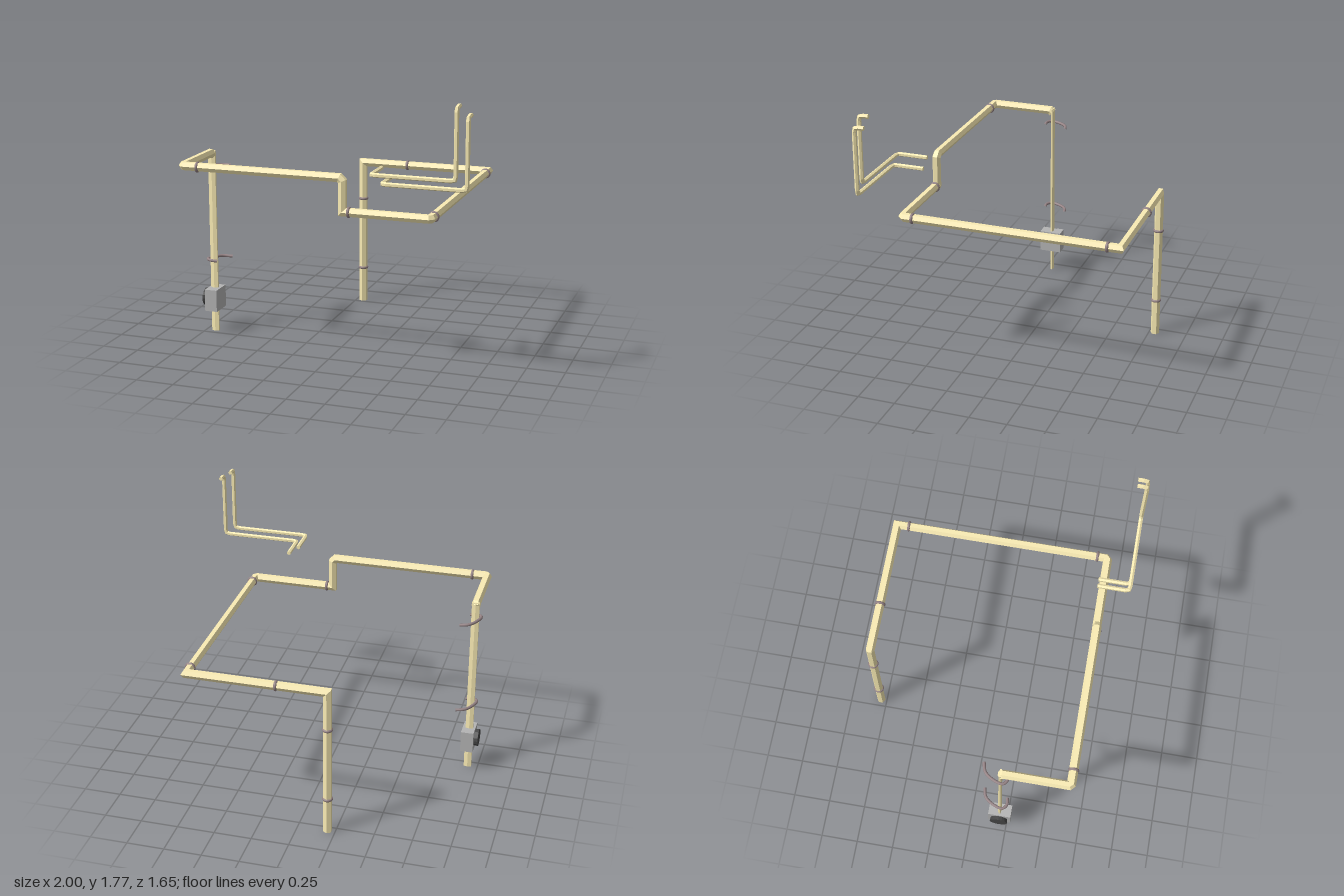
import * as THREE from 'three';

const SIDES = 6;
const V = (p) => new THREE.Vector3(...p);

// Mitred prism swept along a polyline; ru and rv scale the section on its two axes
function sweep(points, ru, rv = ru) {
  const pts = points.map(V);
  const dirs = pts.slice(1).map((p, i) => p.clone().sub(pts[i]).normalize());
  const d0 = dirs[0];
  const u = V([1, 0, 0]).cross(d0).normalize();
  const v = d0.clone().cross(u);
  const k = 1 / Math.cos(Math.PI / SIDES);
  let ring = [];
  for (let i = 0; i < SIDES; i++) {
    const a = (i / SIDES) * Math.PI * 2;
    ring.push(pts[0].clone().addScaledVector(u, Math.cos(a) * ru * k).addScaledVector(v, Math.sin(a) * rv * k));
  }
  const rings = [ring];
  dirs.forEach((d, s) => {
    const n = d.clone().add(dirs[s + 1] || d).normalize();
    ring = ring.map((p) => p.clone().addScaledVector(d, pts[s + 1].clone().sub(p).dot(n) / d.dot(n)));
    rings.push(ring);
  });
  const verts = rings.flat().concat([pts[0], pts[pts.length - 1]]);
  const idx = [];
  const c = rings.length * SIDES, last = (rings.length - 1) * SIDES;
  for (let i = 0; i < SIDES; i++) {
    const j = (i + 1) % SIDES;
    for (let r = 0; r < last; r += SIDES) idx.push(r + i, r + j, r + SIDES + i, r + j, r + SIDES + j, r + SIDES + i);
    idx.push(c, j, i, c + 1, last + i, last + j);
  }
  const g = new THREE.BufferGeometry().setFromPoints(verts);
  g.setIndex(idx);
  const flat = g.toNonIndexed();
  flat.computeVertexNormals();
  return flat;
}

// Replaces each inner corner of a polyline by a short bend
function bend(points, r) {
  const pts = points.map(V), out = [points[0]];
  for (let i = 1; i < pts.length - 1; i++) {
    const a = pts[i - 1].clone().sub(pts[i]).setLength(r).add(pts[i]);
    const b = pts[i + 1].clone().sub(pts[i]).setLength(r).add(pts[i]);
    const m = a.clone().add(b).multiplyScalar(0.21).addScaledVector(pts[i], 0.58);
    out.push(a.toArray(), m.toArray(), b.toArray());
  }
  out.push(points[points.length - 1]);
  return out;
}

export function createModel() {
  const model = new THREE.Group();
  const mat = (color, flatShading = true) => new THREE.MeshStandardMaterial({ color, flatShading });
  const pipeMat = mat(0xfaecb4), ringMat = mat(0x968486, false), boxMat = mat(0xb4b4b4), dialMat = mat(0x484848);
  const add = (name, geo, material, pos = [0, 0, 0]) => {
    const m = new THREE.Mesh(geo, material);
    m.name = name;
    m.position.set(...pos);
    model.add(m);
  };

  // Long pipe run, with cut corners at the front and at the step
  add('mainPipe', sweep([
    [-0.2, 0, -0.79], [-0.2, 1.03, -0.79], [0.715, 1.03, -0.79],
    [0.715, 1.03, 0.63], [0.7, 1.03, 0.645],
    [0.149, 1.03, 0.645], [0.149, 1.225, 0.645], [0.129, 1.245, 0.645],
    [-0.92, 1.245, 0.645], [-0.932, 1.245, 0.633], [-0.932, 1.245, 0.22], [-0.932, 1.23, 0.203],
  ], 0.0255), pipeMat);

  // Flat downpipe
  add('downPipe', sweep([[-0.932, 0, 0.201], [-0.932, 1.26, 0.201]], 0.0108, 0.0255), pipeMat);

  // Pair of small supply pipes
  [[0.387, 0.915, 1.317, 1.757], [0.455, 0.985, 1.265, 1.705]].forEach(([x0, x1, y0, y1]) => {
    add('smallPipe', sweep(bend([
      [x0, y0, 0.605], [x0, y0, 0.815], [x1, y0, 0.815], [x1, y1, 0.815], [x1, y1, 0.75],
    ], 0.03), 0.0125), pipeMat);
  });

  // Rings around the main pipe, listed with the axis they circle
  [
    ['y', -0.2, 0.25, -0.79], ['y', -0.2, 0.765, -0.79],
    ['x', 0.13, 1.03, -0.79], ['x', 0.19, 1.03, 0.645], ['x', -0.83, 1.243, 0.645],
    ['z', 0.717, 1.03, -0.71], ['z', 0.717, 1.03, 0.575],
  ].forEach(([axis, ...pos]) => {
    const g = new THREE.TorusGeometry(0.025, 0.0105, 8, 16);
    if (axis === 'x') g.rotateY(Math.PI / 2);
    if (axis === 'y') g.rotateX(Math.PI / 2);
    add('pipeRing', g, ringMat, pos);
  });

  // Open hooks on the downpipe
  const hook = new THREE.CatmullRomCurve3([
    [-0.89, -0.004, 0.243], [-0.935, 0, 0.249], [-0.968, 0.001, 0.225],
    [-0.953, 0, 0.16], [-0.91, -0.003, 0.102], [-0.848, -0.007, 0.083],
  ].map(V));
  [0.51, 1.148].forEach((y) => add('pipeHook', new THREE.TubeGeometry(hook, 20, 0.01, 8), ringMat, [0, y, 0]));

  // Control box with a round dial on its outer side
  add('controlBox', new THREE.BoxGeometry(0.086, 0.15, 0.153), boxMat, [-0.93, 0.233, 0.203]);
  const dial = new THREE.CylinderGeometry(0.06, 0.056, 0.028, 16);
  dial.rotateZ(Math.PI / 2);
  add('dial', dial, dialMat, [-0.986, 0.238, 0.202]);

  return model;
}
